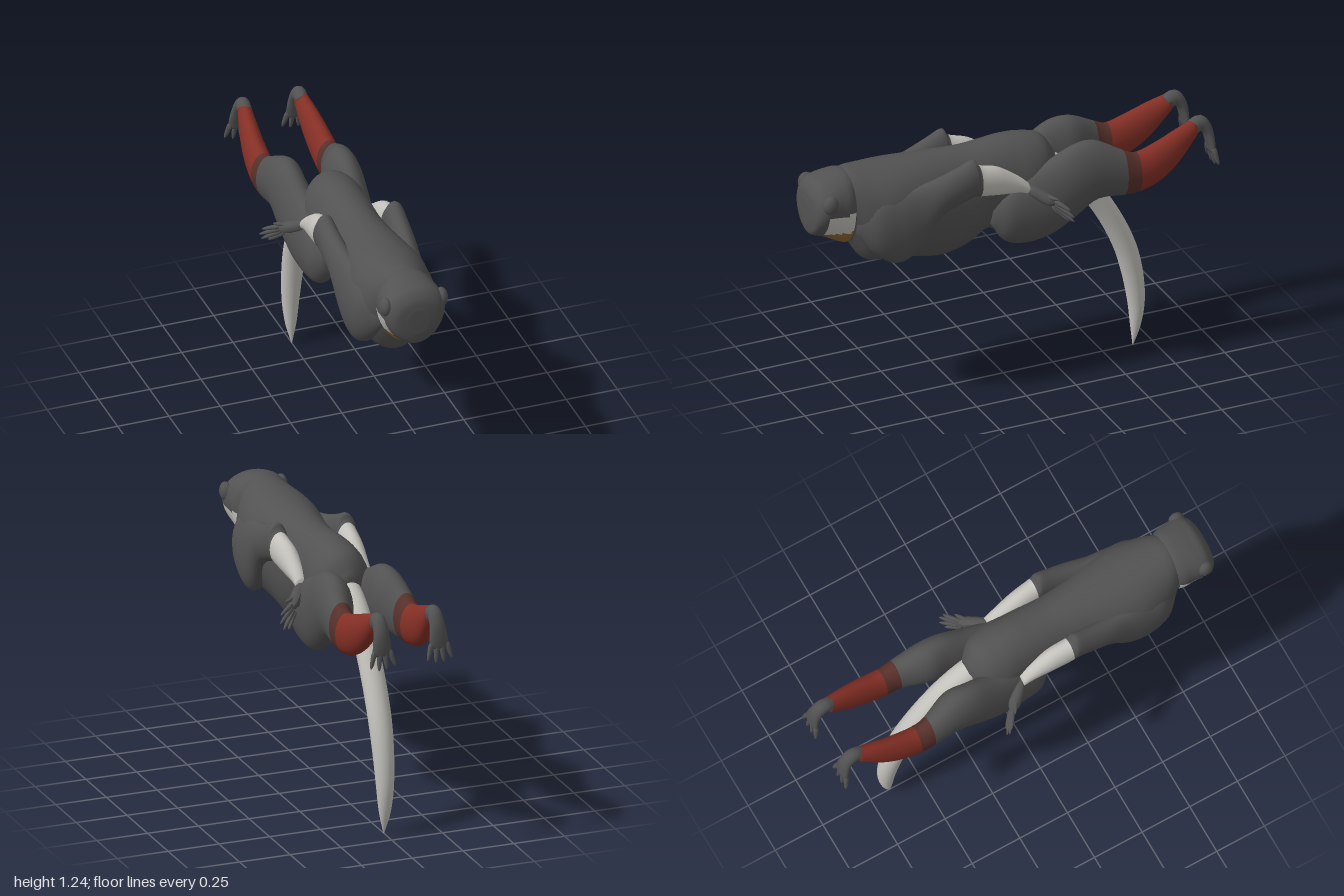
import * as THREE from 'three';

const std = (name, color) => Object.assign(new THREE.MeshStandardMaterial({ color }), { name });

// Smooth loft through sections [x, y, z, halfWidth, halfHeight, taper], running towards -z.
// taper narrows the underside; tilt turns the rings to follow the path; pick chooses a material index.
function loft(name, sections, mats, { steps = 5, sides = 32, tilt = false, pick = () => 0 } = {}) {
  const path = new THREE.CatmullRomCurve3(sections.map(s => new THREE.Vector3(s[0], s[1], s[2])), false, 'catmullrom', 0.5);
  const size = new THREE.CatmullRomCurve3(sections.map(s => new THREE.Vector3(s[3], s[4], s[5] || 0)), false, 'catmullrom', 0.5);
  const n = (sections.length - 1) * steps;
  const pos = [], tris = mats.map(() => []);
  const u = new THREE.Vector3(1, 0, 0);
  for (let i = 0; i <= n; i++) {
    const c = path.getPoint(i / n), r = size.getPoint(i / n);
    const t = tilt ? path.getTangent(i / n).setX(0).normalize() : new THREE.Vector3(0, 0, -1);
    const v = t.cross(u);
    for (let j = 0; j < sides; j++) {
      const a = j / sides * Math.PI * 2;
      const w = Math.cos(a) * r.x * (1 - r.z * Math.sin(a)), h = Math.sin(a) * r.y;
      pos.push(c.x + w, c.y + v.y * h, c.z + v.z * h);
    }
  }
  const ends = [path.getPoint(0), path.getPoint(1)];
  ends.forEach(e => pos.push(e.x, e.y, e.z));
  const add = (...ids) => {
    const m = k => ids.reduce((s, id) => s + pos[id * 3 + k], 0) / ids.length;
    const list = tris[pick(m(0), m(1), m(2))];
    list.push(ids[0], ids[1], ids[2]);
    if (ids.length === 4) list.push(ids[0], ids[2], ids[3]);
  };
  const first = (n + 1) * sides;
  for (let j = 0; j < sides; j++) {
    const k = (j + 1) % sides;
    for (let i = 0; i < n; i++) add(i * sides + j, i * sides + k, (i + 1) * sides + k, (i + 1) * sides + j);
    add(first, k, j);
    add(first + 1, n * sides + j, n * sides + k);
  }
  const geo = new THREE.BufferGeometry();
  geo.setAttribute('position', new THREE.Float32BufferAttribute(pos, 3));
  geo.setIndex(tris.flat());
  let start = 0;
  tris.forEach((l, i) => { geo.addGroup(start, l.length, i); start += l.length; });
  geo.computeVertexNormals();
  const mesh = new THREE.Mesh(geo, mats);
  mesh.name = name;
  return mesh;
}

// Tapered finger or toe between two points
function digit(name, a, b, r0, r1, mat) {
  const p = new THREE.Vector3(...a), q = new THREE.Vector3(...b), d = q.clone().sub(p);
  const geo = new THREE.CapsuleGeometry(1, 1, 4, 10, 4);
  const at = geo.attributes.position;
  for (let i = 0; i < at.count; i++) {
    const f = THREE.MathUtils.clamp((at.getY(i) + 1.5) / 3, 0, 1), r = r0 + (r1 - r0) * f;
    at.setXYZ(i, at.getX(i) * r, f * d.length(), at.getZ(i) * r);
  }
  geo.computeVertexNormals();
  const m = new THREE.Mesh(geo, mat);
  m.position.copy(p);
  m.quaternion.setFromUnitVectors(new THREE.Vector3(0, 1, 0), d.normalize());
  m.name = name;
  return m;
}

function blob(name, x, y, z, sx, sy, sz, mat) {
  const m = new THREE.Mesh(new THREE.SphereGeometry(1, 20, 14), mat);
  m.position.set(x, y, z);
  m.scale.set(sx, sy, sz);
  m.name = name;
  return m;
}

export function createModel() {
  const dark = std('charcoal', 0x525252), light = std('pale grey', 0xc2c1bb);
  const red = std('red', 0x842f25), band = std('dark red', 0x57302a), tan = std('tan', 0x8c6634);
  const model = new THREE.Group();
  model.name = 'flyingFigure';

  // Torso
  model.add(loft('torso', [
    [0, 1.08, 0.86, 0.09, 0.14, 0.1], [0, 1.07, 0.8, 0.125, 0.178, 0.15], [0, 1.01, 0.72, 0.17, 0.237, 0.1],
    [0, 0.993, 0.6, 0.19, 0.248, 0.15], [0, 0.978, 0.45, 0.17, 0.257, 0.2], [0, 0.965, 0.33, 0.155, 0.265, 0.15],
    [0, 0.978, 0.2, 0.145, 0.248, 0.1], [0, 1.01, 0.1, 0.14, 0.222, 0.1], [0, 0.99, 0, 0.145, 0.25, 0.1],
    [0, 0.985, -0.1, 0.15, 0.245, 0.1], [0, 0.99, -0.19, 0.12, 0.21, 0.1], [0, 0.99, -0.25, 0.05, 0.12],
  ], [dark]));

  // Head: cowl, side lenses and the bare jaw underneath
  model.add(loft('head', [
    [0, 1.07, 1.0, 0.05, 0.06], [0, 1.07, 0.99, 0.11, 0.11, 0.1], [0, 1.08, 0.96, 0.14, 0.138, 0.18],
    [0, 1.08, 0.92, 0.147, 0.152, 0.22], [0, 1.072, 0.87, 0.142, 0.172, 0.22], [0, 1.062, 0.82, 0.138, 0.186, 0.18],
    [0, 1.055, 0.77, 0.11, 0.18, 0.1],
  ], [dark, light, tan], {
    steps: 8, sides: 64,
    pick: (x, y, z) => {
      if (z > 0.94 || z < 0.8) return 0;
      if (y < 0.965 && z < 0.93) return 2;
      return y < 1.075 && y > 0.965 && Math.abs(x) > 0.06 ? 1 : 0;
    },
  }));

  // Tail, hanging and curving back to a point
  model.add(loft('tail', [
    [0, 1.08, -0.16, 0.055, 0.05], [0, 1.0, -0.3, 0.057, 0.055], [0, 0.88, -0.42, 0.056, 0.052],
    [0, 0.72, -0.525, 0.056, 0.052], [0, 0.55, -0.605, 0.055, 0.052], [0, 0.4, -0.647, 0.05, 0.05],
    [0, 0.25, -0.668, 0.042, 0.042], [0, 0.12, -0.666, 0.028, 0.026], [0, 0.01, -0.653, 0.002, 0.002],
  ], [light], { tilt: true, sides: 24 }));

  for (const s of [1, -1]) {
    const side = s > 0 ? 'left' : 'right';
    const mir = list => list.map(([x, ...rest]) => [x * s, ...rest]);
    const pt = (x, y, z) => [x * s, y, z];

    model.add(blob(side + 'Ear', 0.136 * s, 1.142, 0.932, 0.029, 0.046, 0.038, dark));

    // Arm from shoulder to wrist with a pale forearm
    model.add(loft(side + 'Arm', mir([
      [0.1, 0.99, 0.79, 0.02, 0.04], [0.125, 0.98, 0.71, 0.07, 0.14], [0.137, 0.96, 0.6, 0.075, 0.18],
      [0.147, 0.99, 0.5, 0.066, 0.16], [0.158, 1.075, 0.4, 0.058, 0.1], [0.166, 1.12, 0.3, 0.052, 0.092],
      [0.168, 1.145, 0.23, 0.05, 0.095], [0.166, 1.125, 0.2, 0.05, 0.078], [0.16, 1.1, 0.1, 0.047, 0.07],
      [0.158, 1.06, 0, 0.035, 0.042], [0.16, 1.03, -0.05, 0.028, 0.028],
    ]), [dark, light], { pick: (x, y, z) => z < 0.2 ? 1 : 0 }));

    // Hand, spread outwards
    const hand = new THREE.Group();
    hand.name = side + 'Hand';
    hand.add(digit('palm', pt(0.155, 1.035, -0.04), pt(0.25, 0.965, -0.15), 0.026, 0.03, dark));
    const tips = [[0.32, 0.955, -0.19], [0.328, 0.92, -0.205], [0.315, 0.89, -0.212], [0.285, 0.885, -0.2]];
    tips.forEach((t, i) => hand.add(digit('finger', pt(0.24 - i * 0.004, 0.983 - i * 0.012, -0.14), pt(...t), 0.014, 0.007, dark)));
    hand.add(digit('thumb', pt(0.2, 1.0, -0.1), pt(0.28, 1.0, -0.15), 0.014, 0.007, dark));
    model.add(hand);

    // Leg from hip to ankle: thigh, cuff band and red boot
    model.add(loft(side + 'Leg', mir([
      [0.1, 0.9, 0.11, 0.03, 0.05], [0.11, 0.885, 0.05, 0.07, 0.125], [0.115, 0.9, -0.05, 0.08, 0.17],
      [0.125, 0.935, -0.17, 0.085, 0.185], [0.135, 1.0, -0.29, 0.084, 0.18], [0.135, 1.035, -0.4, 0.085, 0.148],
      [0.158, 1.002, -0.53, 0.062, 0.114], [0.16, 0.99, -0.6, 0.058, 0.1], [0.158, 1.018, -0.7, 0.054, 0.1],
      [0.15, 1.07, -0.8, 0.047, 0.085], [0.138, 1.142, -0.9, 0.034, 0.046],
    ]), [dark, band, red], { pick: (x, y, z) => z > -0.53 ? 0 : z > -0.6 ? 1 : 2 }));

    // Foot, drooping from the ankle, with toes
    const foot = new THREE.Group();
    foot.name = side + 'Foot';
    foot.add(loft('instep', mir([
      [0.138, 1.14, -0.885, 0.032, 0.04], [0.137, 1.16, -0.925, 0.033, 0.036], [0.138, 1.12, -0.96, 0.036, 0.026],
      [0.14, 1.06, -0.975, 0.044, 0.019], [0.14, 1.01, -0.98, 0.048, 0.013],
    ]), [dark], { tilt: true, sides: 20 }));
    [-1, -0.33, 0.33, 1].forEach(k => foot.add(digit('toe',
      pt(0.14 + k * 0.035, 1.04, -0.977), pt(0.14 + k * 0.06, 0.94 + 0.015 * k * k, -0.992), 0.015, 0.008, dark)));
    model.add(foot);
  }
  return model;
}
